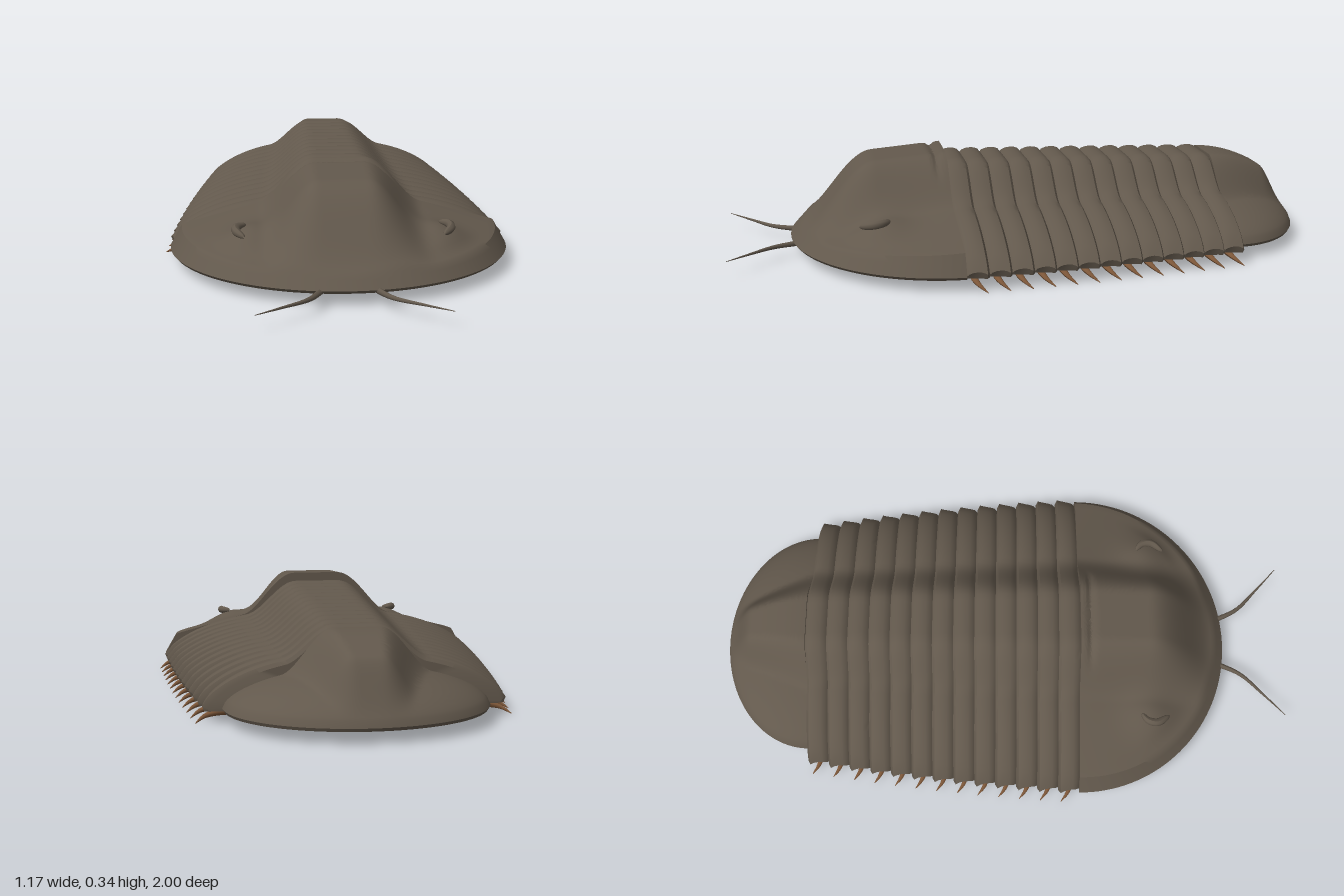
import * as THREE from 'three';
import { toCreasedNormals } from 'three/addons/utils/BufferGeometryUtils.js';

const shell = new THREE.MeshStandardMaterial({ name: 'greyBrownShell', color: 0x62584c });
const limb = new THREE.MeshStandardMaterial({ name: 'brownLimb', color: 0x7c5638 });
const FLOOR = 0.04; // underside of the shell
const SEGMENTS = 13, THORAX_FRONT = 0.26, PITCH = 0.95 / SEGMENTS;

const { smoothstep, lerp } = THREE.MathUtils;
const fade = (v, a, b) => 1 - smoothstep(v, a, b);

// Grid of (ni+1) x (nj+1) points; faces look along di x dj
function grid(ni, nj, point) {
  const pos = [], index = [];
  for (let j = 0; j <= nj; j++) for (let i = 0; i <= ni; i++) pos.push(...point(i, j));
  for (let j = 0; j < nj; j++) for (let i = 0; i < ni; i++) {
    const a = j * (ni + 1) + i, b = a + 1, c = a + ni + 1, d = c + 1;
    index.push(a, b, c, b, d, c);
  }
  const g = new THREE.BufferGeometry();
  g.setAttribute('position', new THREE.Float32BufferAttribute(pos, 3));
  g.setIndex(index);
  return toCreasedNormals(g, 0.6);
}

function mesh(name, geometry, material) {
  const m = new THREE.Mesh(geometry, material);
  m.name = name;
  return m;
}

// Half-elliptical shield, straight edge at local z = 0, curved edge toward +z
function shield(name, w, depth, height) {
  const NA = 72, NR = 44;
  const at = (r, a) => [w * r * Math.cos(a), depth * r * Math.sin(a)];
  const body = grid(NA, NR + 2, (i, j) => {
    const a = Math.PI * i / NA;
    const r = j <= NR ? j / NR : j === NR + 1 ? 0.985 : 0;
    const [x, z] = at(r, a);
    return [x, j <= NR ? height(x, z, r, a) : FLOOR, z];
  });
  const edge = [new THREE.Vector2(-w * 0.985, FLOOR)];
  for (let i = -NR; i <= NR; i++) {
    const r = Math.abs(i) / NR;
    edge.push(new THREE.Vector2(w * i / NR, height(w * i / NR, 0, r, 0)));
  }
  edge.push(new THREE.Vector2(w * 0.985, FLOOR));
  const g = new THREE.Group();
  g.name = name;
  g.add(mesh(name + 'Dome', body, shell),
    mesh(name + 'Wall', new THREE.ShapeGeometry(new THREE.Shape(edge)).rotateY(Math.PI), shell));
  return g;
}

// Head height: bevelled rim, sloping cheeks, eye swellings, raised central lobe
function headHeight(x, z, r, a) {
  const rim = 0.12 - 0.03 * Math.sin(a);
  if (r > 0.93) return lerp(rim, 0.05, (r - 0.93) / 0.07);
  const ax = Math.abs(x);
  const mound = 0.035 * Math.exp(-((ax - 0.3) ** 2 + (z - 0.25) ** 2) / 0.008);
  const base = rim + 0.14 * (1 - r / 0.93) + mound * fade(r, 0.8, 0.93);
  const lobe = fade(ax, 0.08, 0.27) * fade(z, 0.24, 0.5);
  const groove = 0.012 * Math.exp(-(((z - 0.035) / 0.012) ** 2)) * fade(ax, 0.12, 0.2);
  return lerp(base, 0.34 - 0.08 * z, lobe) - groove;
}

// Tail height: low dome with a tapering central ridge
function tailHeight(x, z, r) {
  const base = 0.05 + 0.12 * Math.pow(Math.max(0, 1 - r * r), 0.6);
  const k = 1 - 1.9 * z;
  const lobe = fade(Math.abs(x), 0.07 * k, 0.23 * k) * fade(z, 0.2, 0.3);
  return lerp(base, Math.max(base, 0.285 - 1.3 * z * z), lobe);
}

// Body half-width and cross-section height; f runs 0 (front) to 1 (rear)
const halfWidth = f => 0.55 - 0.05 * f - 0.055 * f * f;
function bodyHeight(u, f) {
  const x = Math.abs(u) * halfWidth(f), k = 1 - 0.18 * f;
  const side = 0.05 + 0.145 * Math.pow(1 - Math.pow(Math.abs(u), 2.6), 0.75);
  return lerp(side, 0.302 - 0.025 * f, fade(x, 0.08 * k, 0.26 * k));
}

// One overlapping ring of the thorax, with side tips swept backward
function segment(n) {
  const NU = 52, steps = [0, 0.12, 0.3, 0.5, 0.7, 0.88, 1];
  const bump = [-0.003, 0.006, 0.011, 0.013, 0.012, 0.007, -0.003];
  const flare = [-0.006, 0, 0.003, 0.006, 0.011, 0.018, 0.004];
  const last = steps.length - 1;
  return grid(NU + 3, last + 2, (i, j) => {
    const s = Math.min(Math.max(j - 1, 0), last);
    const f = (n + steps[s]) / SEGMENTS;
    const z = THORAX_FRONT - (n + steps[s]) * PITCH;
    if (j === 0 || j === last + 2) return [0, 0.06, z];
    const w = halfWidth(f) + flare[s];
    if (i === NU + 1) return [w * 0.985, FLOOR, z];
    if (i === NU + 2) return [-w * 0.985, FLOOR, z];
    const u = i > NU ? -1 : -1 + 2 * i / NU;
    return [w * u, bodyHeight(u, f) + bump[s], z];
  });
}

// Tube along a smooth path whose radius follows a rule of t
function taperedTube(points, radius, rings, sides) {
  const path = new THREE.CatmullRomCurve3(points.map(p => new THREE.Vector3(...p)));
  const g = new THREE.TubeGeometry(path, rings, 1, sides);
  const p = g.attributes.position, v = new THREE.Vector3();
  for (let i = 0; i < p.count; i++) {
    const t = Math.floor(i / (sides + 1)) / rings, c = path.getPointAt(t);
    v.fromBufferAttribute(p, i).sub(c).multiplyScalar(radius(t)).add(c);
    p.setXYZ(i, v.x, v.y, v.z);
  }
  g.computeVertexNormals();
  return g;
}

export function createModel() {
  const model = new THREE.Group();
  model.name = 'armouredSeaCreature';

  const head = shield('head', 0.56, 0.53, headHeight);
  head.position.z = THORAX_FRONT;
  const tail = shield('tail', 0.405, 0.31, tailHeight);
  tail.rotation.y = Math.PI;
  tail.position.z = -0.69;
  model.add(head, tail);

  const thorax = new THREE.Group();
  thorax.name = 'thorax';
  for (let n = 0; n < SEGMENTS; n++) thorax.add(mesh('thoraxSegment', segment(n), shell));
  model.add(thorax);

  for (const s of [1, -1]) {
    const side = s > 0 ? 'left' : 'right';

    // Crescent eye ridge
    model.add(mesh(side + 'Eye', taperedTube(
      [[s * 0.308, 0.172, 0.475], [s * 0.333, 0.172, 0.497], [s * 0.338, 0.168, 0.53], [s * 0.312, 0.158, 0.572]],
      t => 0.003 + 0.011 * Math.sqrt(Math.sin(Math.PI * t) + 1e-6), 16, 8), shell));

    // Feeler
    model.add(mesh(side + 'Antenna', taperedTube(
      [[s * 0.06, 0.045, 0.7], [s * 0.09, 0.045, 0.78], [s * 0.125, 0.047, 0.85], [s * 0.2, 0.052, 0.925], [s * 0.28, 0.057, 1]],
      t => lerp(0.012, 0.001, t), 20, 8), shell));

    // Short pointed legs under the shell edge
    const legs = new THREE.Group();
    legs.name = side + 'Legs';
    for (let n = 0; n < SEGMENTS; n++) {
      const w = halfWidth((n + 0.5) / SEGMENTS), z = THORAX_FRONT - (n + 0.4) * PITCH;
      legs.add(mesh('leg', taperedTube(
        [[s * (w - 0.09), 0.034, z], [s * (w - 0.035), 0.029, z], [s * (w + 0.005), 0.02, z - 0.01], [s * (w + 0.034), 0.003, z - 0.033]],
        t => lerp(0.013, 0.001, t * t), 10, 7), limb));
    }
    model.add(legs);
  }
  return model;
}
